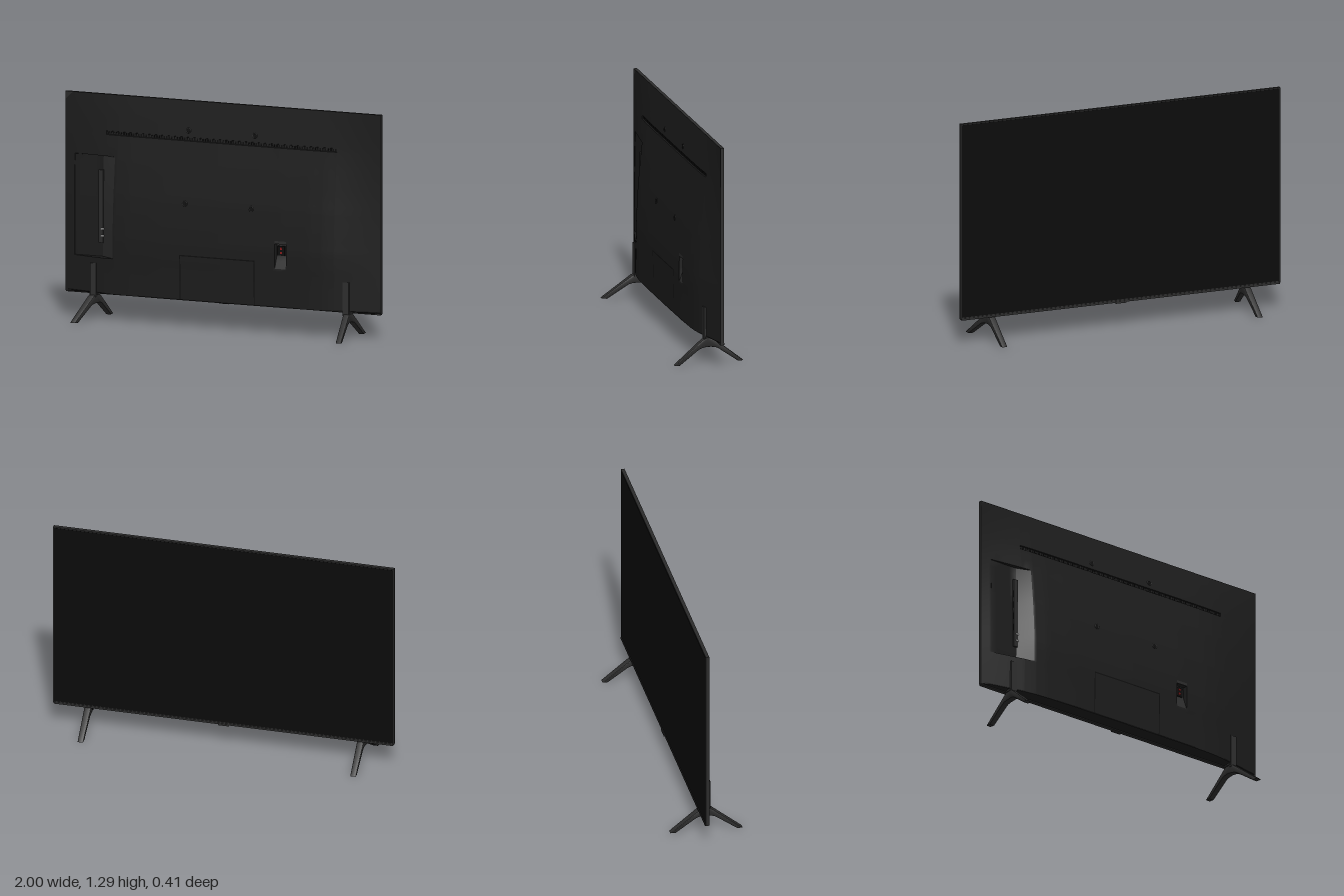
import * as THREE from 'three';
import { toCreasedNormals } from 'three/addons/utils/BufferGeometryUtils.js';

const mat = (color, side = THREE.FrontSide) => new THREE.MeshStandardMaterial({ color, side });
const shellMat = mat(0x1c1c1c), trimMat = mat(0x2b2b2b), grooveMat = mat(0x0c0c0c);
const screenMat = mat(0x0a0a0a), legMat = mat(0x2e2e2e), redMat = mat(0x8a1a1a), metalMat = mat(0xcccccc);

const BASE = -0.025; // plane where the rear shell meets the display panel

// Piecewise linear lookup in [position, value] pairs
function lookup(pairs, t) {
  for (let i = 1; i < pairs.length; i++) {
    const [a, va] = pairs[i - 1], [b, vb] = pairs[i];
    if (t <= b) return va + (vb - va) * Math.max(0, (t - a) / (b - a));
  }
  return pairs[pairs.length - 1][1];
}

// Bulge of the shell by height, and how it fades towards the sides
const bulge = [[0.15, 0.078], [0.3, 0.08], [0.4, 0.083], [0.48, 0.083], [0.6, 0.077], [0.71, 0.069],
  [0.9, 0.048], [1.07, 0.026], [1.2, 0.0115], [1.295, 0]];
const fade = [[0, 1], [0.4, 0.98], [0.58, 0.93], [0.66, 0.86], [0.73, 0.73], [0.8, 0.55], [0.9, 0.28], [1, 0]];
const smoothZ = (x, y) => BASE + lookup(bulge, y) * lookup(fade, Math.abs(x));

const within = (v, a, b) => v > a && v < b;

// Shell surface with the vent groove, connector bay and power recess pressed in
function shellZ(x, y) {
  const z = smoothZ(x, y);
  if (within(x, -0.73, 0.73) && within(y, 1.066, 1.086)) return z - 0.007;
  if (within(x, -0.935, -0.665) && within(y, 0.36, 0.942)) {
    const floor = smoothZ(-0.935, y) - 0.002;
    const t = THREE.MathUtils.clamp((x + 0.755) / 0.09, 0, 1);
    return Math.min(z, floor + (smoothZ(-0.665, y) - floor) * t);
  }
  if (within(x, 0.365, 0.435) && within(y, 0.375, 0.52)) return z - 0.03 * Math.min(1, (y - 0.375) / 0.08);
  return z;
}

// Surface over a grid of x and y stations; optional first row closes the bottom
function gridSurface(xs, ys, zAt, closeBottom) {
  const pos = [], index = [], rows = ys.length + (closeBottom ? 1 : 0);
  for (const x of xs) {
    if (closeBottom) pos.push(x, 0.147, BASE);
    for (const y of ys) pos.push(x, y, zAt(x, y));
  }
  for (let i = 0; i < xs.length - 1; i++) {
    for (let j = 0; j < rows - 1; j++) {
      const a = i * rows + j, b = a + rows;
      index.push(a, b, b + 1, a, b + 1, a + 1);
    }
  }
  const g = new THREE.BufferGeometry();
  g.setAttribute('position', new THREE.Float32BufferAttribute(pos, 3));
  g.setIndex(index);
  return toCreasedNormals(g, 0.45);
}

const stations = (a, b, n) => Array.from({ length: n + 1 }, (_, i) => a + (b - a) * i / n);
const sorted = list => [...new Set(list.map(v => +v.toFixed(4)))].sort((a, b) => a - b);
const bothSides = list => list.flatMap(v => [v - 0.001, v + 0.001]);

export function createModel() {
  const model = new THREE.Group();
  const add = (name, geo, material, x = 0, y = 0, z = 0, parent = model) => {
    const m = new THREE.Mesh(geo, material);
    m.name = name;
    m.position.set(x, y, z);
    parent.add(m);
    return m;
  };
  const box = (name, w, h, d, material, x, y, z, parent) =>
    add(name, new THREE.BoxGeometry(w, h, d), material, x, y, z, parent);

  // Display panel, screen face and bottom lip
  box('panelFrame', 2, 1.147, 0.02, trimMat, 0, 0.7215, -0.035);
  box('screen', 1.988, 1.13, 0.002, screenMat, 0, 0.724, -0.0455);
  box('bottomLip', 1.99, 0.012, 0.024, trimMat, 0, 0.148, -0.036);
  box('sensor', 0.064, 0.012, 0.016, trimMat, 0, 0.143, -0.043);

  // Rear shell
  const xs = sorted([...stations(-1, 1, 40), ...fade.flatMap(([x]) => [x, -x]),
    ...bothSides([-0.935, -0.665, -0.73, 0.73, 0.365, 0.435]), -0.755]);
  const ys = sorted([0.155, ...stations(0.2, 1.25, 21), 1.295, ...bulge.slice(1).map(([y]) => y),
    ...bothSides([1.066, 1.086, 0.36, 0.942, 0.375, 0.52]), 0.455]);
  add('rearShell', gridSurface(xs, ys, shellZ, true), shellMat);

  // Thin strips laid on the curved shell
  const strip = (name, x0, x1, y0, y1, material = grooveMat, lift = 0.001) =>
    add(name, gridSurface(stations(x0, x1, 8), stations(y0, y1, 8), (x, y) => smoothZ(x, y) + lift), material);

  // Seam of the lower cable cover
  strip('coverSeamTop', -0.238, 0.238, 0.409, 0.416);
  for (const s of [-1, 1]) strip('coverSeamSide', s * 0.235 - 0.003, s * 0.235 + 0.003, 0.157, 0.41);
  strip('lowerSeam', -0.98, 0.98, 0.157, 0.161);

  // Vent slots inside the long groove
  const vents = new THREE.Group();
  vents.name = 'ventSlots';
  model.add(vents);
  for (let i = 0; i < 90; i++) {
    const x = -0.72 + i * 1.44 / 89;
    box('ventSlot', 0.008, 0.013, 0.004, grooveMat, x, 1.076, shellZ(x, 1.076), vents);
  }

  // Wall mount screw points
  for (const x of [-0.21, 0.21]) {
    for (const y of [0.71, 1.125]) {
      const ring = add('mountRing', new THREE.TorusGeometry(0.013, 0.003, 8, 24), trimMat, x, y, smoothZ(x, y));
      ring.rotation.x = -0.11;
      const hole = add('mountHole', new THREE.CylinderGeometry(0.011, 0.011, 0.004, 20), grooveMat, x, y, smoothZ(x, y));
      hole.rotation.x = Math.PI / 2 - 0.11;
    }
  }

  // Connector bay: sloped light wall, socket block and sockets
  const wallZ = (x, y) => shellZ(x, y) + 0.001;
  add('connectorWall', gridSurface([-0.753, -0.71, -0.667], stations(0.364, 0.938, 12), wallZ), trimMat);
  box('connectorBlock', 0.028, 0.42, 0.012, trimMat, -0.765, 0.65, -0.008);
  for (const y of [0.56, 0.63, 0.7, 0.77]) box('socket', 0.008, 0.04, 0.006, grooveMat, -0.776, y, -0.006);
  for (const y of [0.48, 0.52]) {
    const jack = add('aerialJack', new THREE.CylinderGeometry(0.005, 0.005, 0.016, 12), metalMat, -0.755, y, -0.003);
    jack.rotation.z = Math.PI / 2;
  }

  // Power recess with inlet
  add('powerRecessFloor', gridSurface([0.368, 0.4, 0.432], [0.378, 0.42, 0.455, 0.517], wallZ), trimMat);
  strip('powerRecessLip', 0.363, 0.437, 0.523, 0.538, trimMat, 0.002);
  const inletZ = shellZ(0.4, 0.48);
  box('powerInlet', 0.045, 0.055, 0.012, grooveMat, 0.397, 0.48, inletZ + 0.004);
  for (const y of [0.469, 0.493]) box('powerMark', 0.013, 0.012, 0.003, redMat, 0.397, y, inletZ + 0.011);

  // Splayed legs with an upright post on the shell
  const shape = new THREE.Shape();
  shape.moveTo(0.2, 0.005);
  shape.lineTo(0.035, 0.131);
  shape.quadraticCurveTo(0, 0.15, -0.035, 0.131);
  shape.lineTo(-0.2, 0.005);
  shape.lineTo(-0.178, 0.005);
  shape.lineTo(-0.065, 0.083);
  shape.quadraticCurveTo(-0.045, 0.098, 0, 0.098);
  shape.quadraticCurveTo(0.045, 0.098, 0.065, 0.083);
  shape.lineTo(0.178, 0.005);
  for (const s of [-1, 1]) {
    const leg = new THREE.Group();
    leg.name = s > 0 ? 'leftLeg' : 'rightLeg';
    leg.position.x = 0.8 * s;
    model.add(leg);
    let geo = new THREE.ExtrudeGeometry(shape, { depth: 0.03, bevelSize: 0.005, bevelThickness: 0.005, bevelSegments: 2, curveSegments: 8 });
    geo.translate(0, 0, -0.015).rotateY(-Math.PI / 2);
    const p = geo.attributes.position;
    for (let i = 0; i < p.count; i++) { // taper to the feet and splay the one at +z outwards
      const z = p.getZ(i);
      p.setX(i, p.getX(i) * (1 - 0.9 * Math.abs(z)) + s * 0.2 * Math.max(z, 0));
    }
    geo = toCreasedNormals(geo, 0.6);
    add('foot', geo, legMat, 0, 0, 0, leg);
    box('post', 0.04, 0.195, 0.026, legMat, 0, 0.2275, 0.013, leg);
    box('postMount', 0.05, 0.014, 0.06, trimMat, 0, 0.148, -0.012, leg);
  }
  return model;
}
